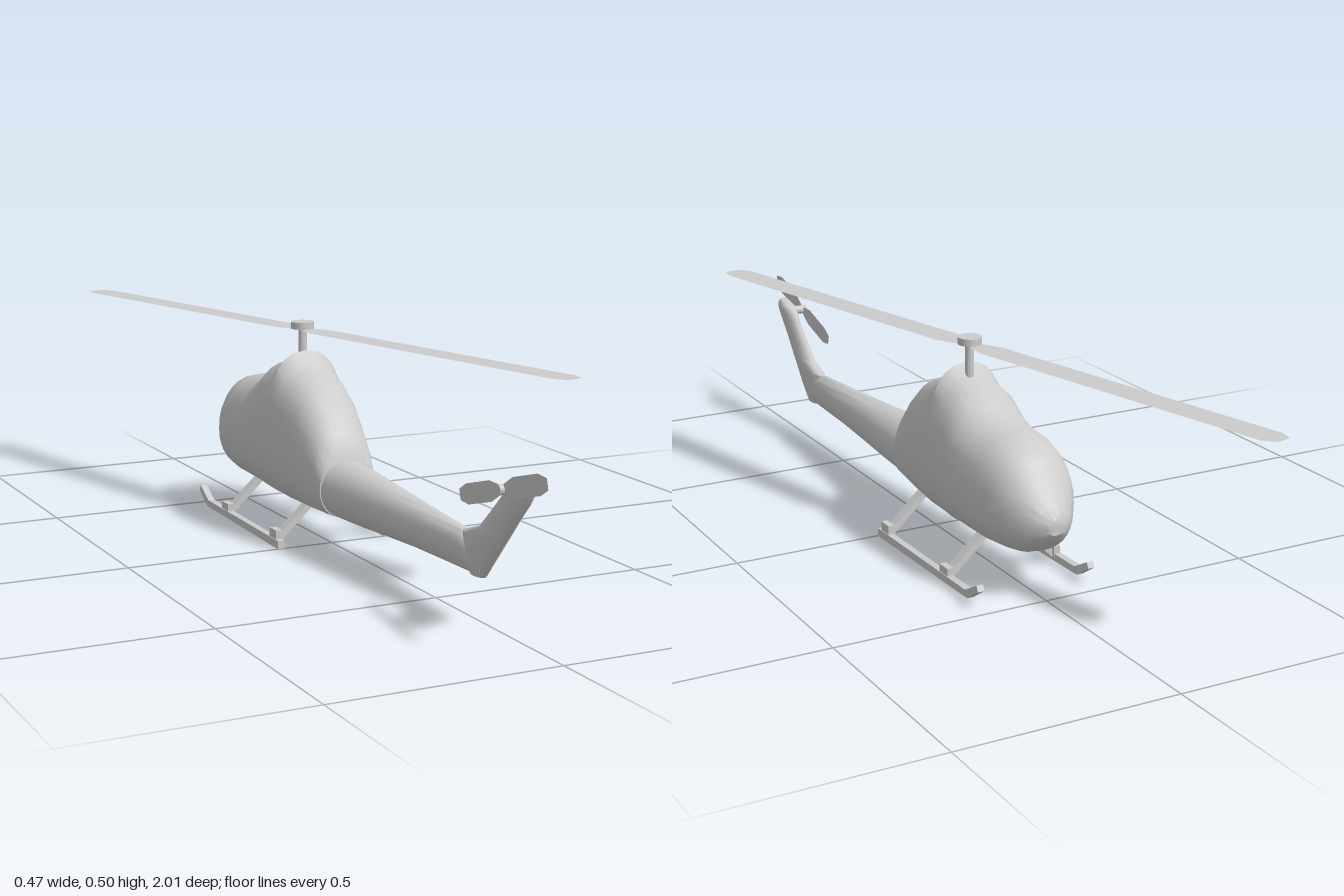
import * as THREE from 'three';
import { toCreasedNormals } from 'three/addons/utils/BufferGeometryUtils.js';

const material = new THREE.MeshStandardMaterial({ color: 0xcccccc });
const thin = new THREE.MeshStandardMaterial({ color: 0xcccccc, side: THREE.DoubleSide });

function add(parent, name, geometry, mat = material) {
  const mesh = new THREE.Mesh(geometry, mat);
  mesh.name = name;
  parent.add(mesh);
  return mesh;
}

// Skin closed rings of points; both ends are capped
function loft(rings, crease = 0.6) {
  const n = rings[0].length;
  const center = (r) => r.reduce((s, p) => s.add(p), new THREE.Vector3()).divideScalar(n);
  const all = [rings[0].map(() => center(rings[0])), ...rings,
    rings[0].map(() => center(rings[rings.length - 1]))];
  const positions = [];
  const tri = (...pts) => pts.forEach((p) => positions.push(p.x, p.y, p.z));
  for (let i = 0; i < all.length - 1; i++) {
    for (let j = 0; j < n; j++) {
      const k = (j + 1) % n;
      const a = all[i][j], b = all[i][k], c = all[i + 1][j], d = all[i + 1][k];
      if (i > 0) tri(a, b, c);
      if (i < all.length - 2) tri(b, d, c);
    }
  }
  const g = new THREE.BufferGeometry();
  g.setAttribute('position', new THREE.Float32BufferAttribute(positions, 3));
  return toCreasedNormals(g, crease);
}

// Egg-shaped section: z, centre x, half width, bottom, widest height, top, squareness
function section([z, cx, hw, yb, ym, yt, n = 2.3]) {
  const power = (v) => Math.sign(v) * Math.abs(v) ** (2 / n);
  return Array.from({ length: 28 }, (_, i) => {
    const a = (i / 28) * Math.PI * 2;
    const s = Math.sin(a);
    return new THREE.Vector3(cx + hw * power(Math.cos(a)), ym + (s > 0 ? yt - ym : ym - yb) * power(s), z);
  });
}

// Flat blade running along +y from its root
function bladeShape(root, tip, w, rootW, taper, chamfer) {
  return new THREE.ShapeGeometry(new THREE.Shape([
    [-rootW, root], [rootW, root], [w, root + taper], [w, tip - chamfer],
    [w * 0.5, tip], [-w * 0.6, tip], [-w, tip - chamfer], [-w, root + taper],
  ].map(([x, y]) => new THREE.Vector2(x, y))));
}

// Square bar between two points
function bar(parent, name, from, to, width, depth) {
  const a = new THREE.Vector3(...from), b = new THREE.Vector3(...to);
  const mesh = add(parent, name, new THREE.BoxGeometry(width, a.distanceTo(b), depth));
  mesh.position.copy(a).lerp(b, 0.5);
  mesh.quaternion.setFromUnitVectors(new THREE.Vector3(0, 1, 0), b.sub(a).normalize());
}

export function createModel() {
  const model = new THREE.Group();
  model.name = 'helicopter';

  // Cabin with engine cowl
  add(model, 'cabin', loft([
    [-0.535, 0, 0.02, 0.165, 0.185, 0.2],
    [-0.52, 0, 0.042, 0.145, 0.185, 0.222],
    [-0.49, 0, 0.068, 0.117, 0.19, 0.265],
    [-0.46, 0, 0.088, 0.104, 0.195, 0.305],
    [-0.42, 0, 0.102, 0.098, 0.2, 0.333],
    [-0.37, 0, 0.109, 0.093, 0.205, 0.344],
    [-0.3, 0, 0.11, 0.09, 0.21, 0.35],
    [-0.257, 0, 0.109, 0.088, 0.215, 0.37],
    [-0.214, -0.001, 0.107, 0.086, 0.22, 0.4, 2.5],
    [-0.165, -0.003, 0.104, 0.085, 0.22, 0.41, 2.5],
    [-0.135, -0.003, 0.102, 0.084, 0.22, 0.435, 2.5],
    [-0.105, -0.004, 0.1, 0.084, 0.22, 0.4, 2.6],
    [-0.07, -0.005, 0.097, 0.085, 0.22, 0.389, 2.6],
    [-0.016, -0.007, 0.089, 0.085, 0.21, 0.365, 2.6],
    [0.037, -0.009, 0.081, 0.087, 0.19, 0.323, 2.5],
    [0.08, -0.011, 0.075, 0.088, 0.175, 0.275, 2.4],
    [0.107, -0.012, 0.07, 0.089, 0.16, 0.222, 2.2],
  ].map(section)));

  // Tail boom
  add(model, 'tailBoom', loft([
    [0.1, -0.012, 0.068, 0.089, 0.155, 0.222, 2],
    [0.225, -0.012, 0.058, 0.092, 0.155, 0.216, 2],
    [0.345, -0.012, 0.048, 0.098, 0.153, 0.208, 2],
    [0.465, -0.012, 0.039, 0.103, 0.152, 0.2, 2],
    [0.64, -0.012, 0.025, 0.105, 0.148, 0.19, 2],
    [0.72, -0.012, 0.013, 0.107, 0.128, 0.15, 2],
  ].map(section)));

  // Swept tail fin: height, front z, back z, half thickness
  add(model, 'tailFin', loft([
    [0.105, 0.67, 0.722, 0.012], [0.15, 0.64, 0.76, 0.02], [0.188, 0.64, 0.794, 0.021],
    [0.21, 0.705, 0.813, 0.018], [0.25, 0.748, 0.848, 0.016], [0.29, 0.79, 0.885, 0.016],
    [0.312, 0.808, 0.9, 0.018], [0.325, 0.825, 0.902, 0.017], [0.336, 0.865, 0.893, 0.01],
  ].map(([y, z0, z1, t]) => Array.from({ length: 16 }, (_, i) => {
    const a = (i / 16) * Math.PI * 2;
    return new THREE.Vector3(-0.012 + t * Math.cos(a), y, (z0 + z1) / 2 - ((z1 - z0) / 2) * Math.sin(a));
  }))));

  // Main rotor
  const rotor = new THREE.Group();
  rotor.name = 'mainRotor';
  rotor.position.set(0, 0, -0.157);
  model.add(rotor);
  add(rotor, 'mast', toCreasedNormals(new THREE.CylinderGeometry(0.01, 0.01, 0.1, 16), 0.6)).position.y = 0.437;
  add(rotor, 'rotorHub', toCreasedNormals(new THREE.CylinderGeometry(0.027, 0.027, 0.016, 20), 0.6)).position.y = 0.492;
  for (const turn of [0, Math.PI]) {
    const blade = add(rotor, 'mainBlade', bladeShape(0.022, 0.868, 0.033, 0.02, 0.05, 0.03).rotateX(-Math.PI / 2), thin);
    blade.position.y = 0.483;
    blade.rotation.y = 0.246 + turn;
  }

  // Tail rotor
  const tailRotor = new THREE.Group();
  tailRotor.name = 'tailRotor';
  tailRotor.position.set(0, 0.314, 0.838);
  model.add(tailRotor);
  add(tailRotor, 'tailShaft', toCreasedNormals(new THREE.CylinderGeometry(0.011, 0.011, 0.05, 12).rotateZ(Math.PI / 2), 0.6)).position.x = -0.03;
  for (const turn of [0, Math.PI]) {
    const blade = add(tailRotor, 'tailBlade', bladeShape(0.005, 0.168, 0.021, 0.009, 0.04, 0.03).rotateY(Math.PI / 2), thin);
    blade.position.x = -0.045;
    blade.rotation.x = 1.297 + turn;
  }

  // Landing skids with upturned toes and struts
  const runner = new THREE.Shape([
    [0.0, 0.004], [-0.0, 0.023], [-0.415, 0.028], [-0.465, 0.056], [-0.472, 0.043], [-0.425, 0.012],
  ].map(([z, y]) => new THREE.Vector2(-z, y)));
  for (const side of [-1, 1]) {
    const gear = new THREE.Group();
    gear.name = side > 0 ? 'leftLandingGear' : 'rightLandingGear';
    gear.position.x = 0.007;
    model.add(gear);
    const skid = new THREE.ExtrudeGeometry(runner, { depth: 0.016, bevelEnabled: false });
    skid.translate(0, 0, -0.008).rotateY(Math.PI / 2);
    add(gear, 'skid', skid).position.x = side * 0.136;
    for (const z of [-0.032, -0.315]) {
      bar(gear, 'strut', [side * 0.134, 0.02, z], [side * 0.04, 0.107, z], 0.014, 0.024);
      add(gear, 'strutFoot', new THREE.BoxGeometry(0.016, 0.026, 0.036)).position.set(side * 0.134, 0.031, z);
    }
  }
  return model;
}
